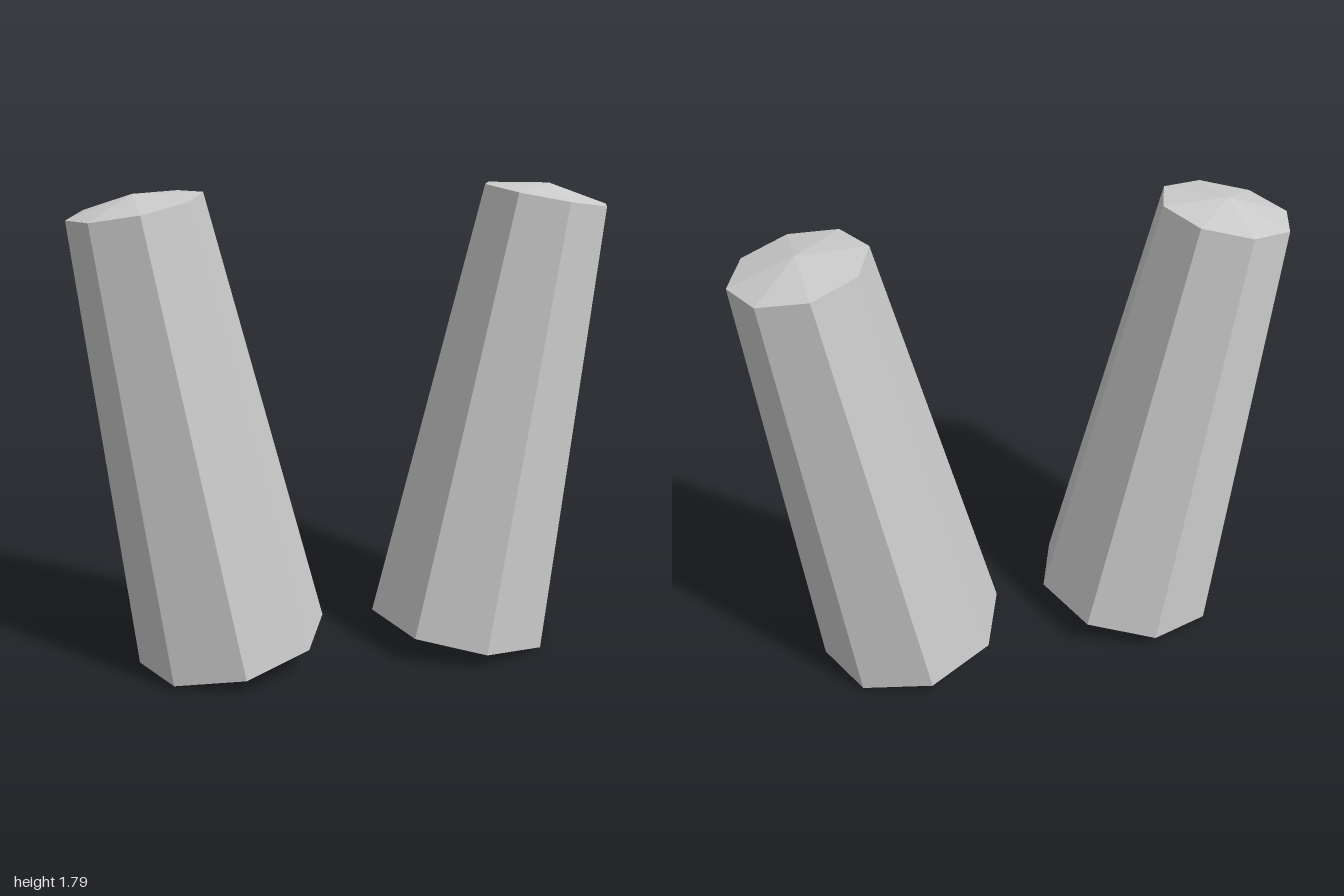
import * as THREE from 'three';

const TILT = THREE.MathUtils.degToRad(10.1);
const LENGTH = 1.71;

export function createModel() {
  const model = new THREE.Group();
  const material = new THREE.MeshStandardMaterial({
    color: 0xcccccc,
    flatShading: true,
    side: THREE.DoubleSide,
  });

  // Eight-sided tapered shell: open at the bottom, shallow pointed cap on top
  const profile = [
    new THREE.Vector2(0.365, 0),
    new THREE.Vector2(0.244, LENGTH),
    new THREE.Vector2(0, LENGTH + 0.043),
  ];
  const geometry = new THREE.LatheGeometry(profile, 8);

  // Mirrored pair, both leaning outwards
  for (const [name, side] of [['leftTaperedColumn', 1], ['rightTaperedColumn', -1]]) {
    const column = new THREE.Mesh(geometry, material);
    column.name = name;
    column.position.set(side * 0.46, 0.064, 0);
    column.rotation.z = -side * TILT;
    model.add(column);
  }
  return model;
}
